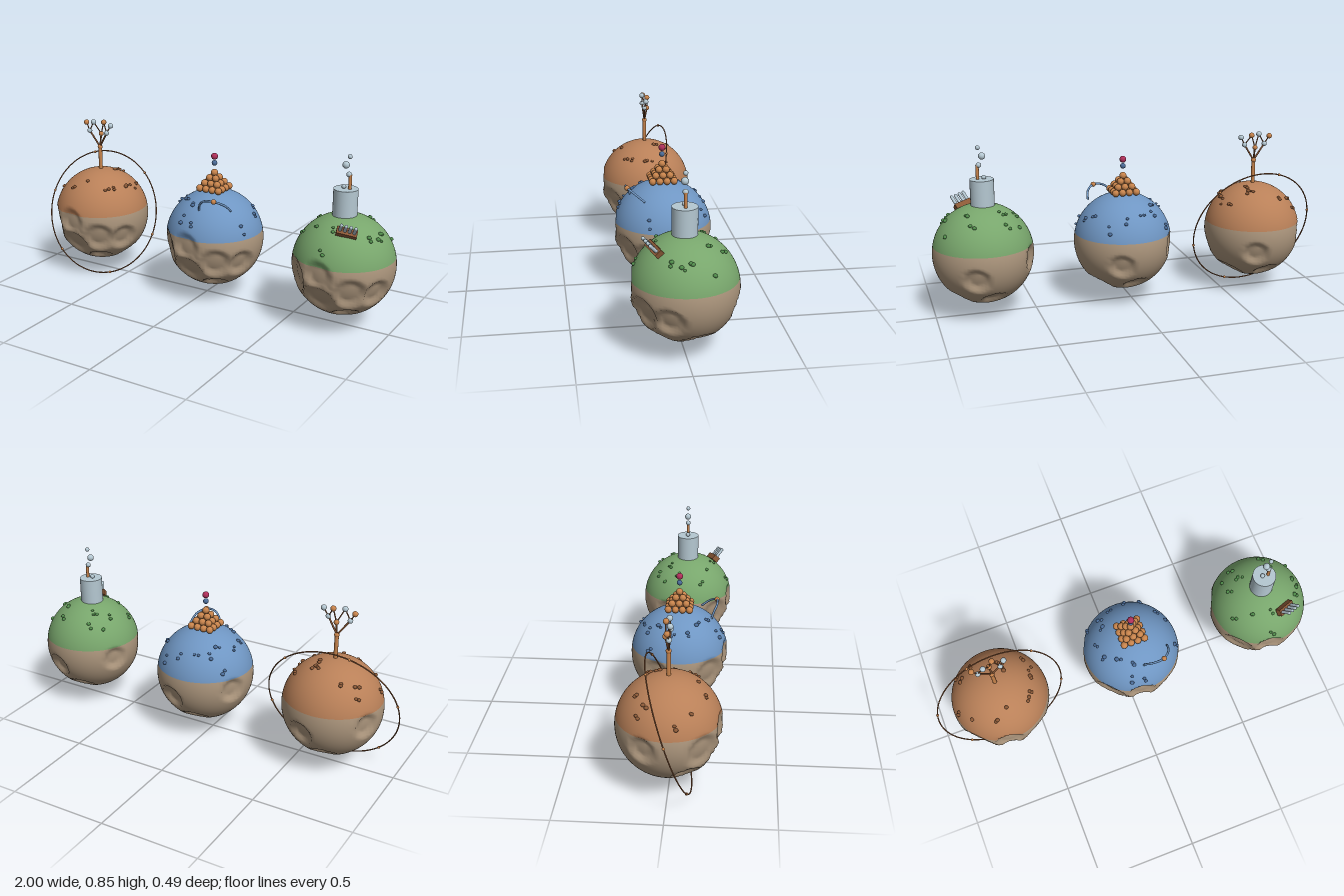
import * as THREE from 'three';
import { mergeVertices } from 'three/addons/utils/BufferGeometryUtils.js';

const V = (x, y, z) => new THREE.Vector3(x, y, z);
const mat = (name, color) => Object.assign(new THREE.MeshStandardMaterial({ color }), { name });

export function createModel() {
  const M = {
    rock: mat('rock', 0xab957c), clay: mat('clay', 0xb98058), blue: mat('blue', 0x6f96c3),
    green: mat('green', 0x78a66c), orange: mat('orange', 0xc8844c), steel: mat('steel', 0xb5c8d2),
    crimson: mat('crimson', 0xb0305a), leaf: mat('leaf', 0x4f8a4a), navy: mat('navy', 0x4b6c98),
    brown: mat('brown', 0x8a5836),
  };
  const R = 0.247, CY = 0.32;
  const root = new THREE.Group();
  root.name = 'planets';
  let seed = 7;
  const rnd = () => (seed = (seed * 16807) % 2147483647) / 2147483647;

  const add = (parent, name, geo, material, pos) => {
    const m = new THREE.Mesh(geo, material);
    m.name = name;
    if (pos) m.position.copy(pos);
    parent.add(m);
    return m;
  };
  const ball = (parent, name, r, material, pos) =>
    add(parent, name, new THREE.SphereGeometry(r, 16, 12), material, pos);
  // Cylinder between two points
  const rod = (parent, name, a, b, r, material) => {
    const d = b.clone().sub(a);
    const m = add(parent, name, new THREE.CylinderGeometry(r, r, d.length(), 12), material,
      a.clone().add(b).multiplyScalar(0.5));
    m.quaternion.setFromUnitVectors(V(0, 1, 0), d.normalize());
    return m;
  };

  // Cratered body: direction and angular radius of every crater
  const craters = [
    [-0.72, -0.15, 0.68, 0.36], [-0.12, -0.5, 0.86, 0.36], [0.5, -0.28, 0.82, 0.34],
    [-0.12, 0.03, 1, 0.3], [0.86, -0.32, 0.4, 0.3], [0.53, -0.83, -0.16, 0.3],
    [-0.1, -0.8, -0.58, 0.27], [0.27, -0.3, -0.91, 0.27], [-0.9, -0.06, -0.43, 0.27],
    [-0.6, -0.72, 0.35, 0.28], [0.3, -0.85, 0.5, 0.25],
  ].map(([x, y, z, r]) => ({ dir: V(x, y, z).normalize(), r }));
  const W = 80, H = 64, CAP = 28;
  const sphere = new THREE.SphereGeometry(R, W, H);
  const p = sphere.attributes.position, v = V(0, 0, 0);
  for (let i = 0; i < p.count; i++) {
    v.fromBufferAttribute(p, i).normalize();
    let dent = 0;
    for (const c of craters) {
      const t = v.angleTo(c.dir) / c.r;
      if (t < 1) dent = Math.max(dent, 0.024 * Math.min(1, 1.7 * (1 - t * t)));
    }
    v.multiplyScalar(R - dent);
    p.setXYZ(i, v.x, v.y, v.z);
  }
  sphere.deleteAttribute('normal');
  sphere.deleteAttribute('uv');
  const body = mergeVertices(sphere, 1e-5);
  body.computeVertexNormals();
  const capCount = 3 * (W + 2 * W * (CAP - 1));
  body.clearGroups();
  body.addGroup(0, capCount, 0);
  body.addGroup(capCount, body.index.count - capCount, 1);

  // Planet with pebble clusters, placed by x,z offsets on the cap
  const planet = (name, x, cap, pebble, spots) => {
    const g = new THREE.Group();
    g.name = name;
    g.position.set(x, CY, 0);
    root.add(g);
    add(g, 'planetBody', body, [cap, M.rock]);
    for (let i = 0; i < spots.length; i += 2)
      for (let k = 0; k < 2; k++) {
        const px = spots[i] + k * (rnd() - 0.5) * 0.04, pz = spots[i + 1] + k * (rnd() - 0.5) * 0.04;
        const d = V(px, Math.sqrt(Math.max(0.004, R * R - px * px - pz * pz)), pz).setLength(R + 0.002);
        const b = ball(g, 'pebble', 0.007 + rnd() * 0.004, pebble, d);
        b.scale.y = 0.8;
      }
    return g;
  };

  // Clay planet: tree of nodes and a beaded orbit ring
  const one = planet('clayPlanet', -0.665, M.clay, M.brown, [
    -0.165, -0.13, -0.09, -0.14, 0.04, -0.1, 0.06, -0.085, 0.055, -0.06, 0.165, -0.085, 0.17, 0.01,
    -0.165, 0.11, -0.215, 0.04, 0.15, 0.09, 0.13, 0.11, 0.01, 0.13, -0.05, 0.165, -0.16, -0.085, 0.19, -0.04]);
  const tree = new THREE.Group();
  tree.name = 'nodeTree';
  one.add(tree);
  const fork = V(0, 0.365, 0);
  rod(tree, 'trunk', V(0, 0.235, 0), fork, 0.01, M.orange);
  ball(tree, 'forkNode', 0.013, M.orange, fork);
  const limbs = [
    { at: V(-0.06, 0.447, 0.006), m: M.steel, tips: [[-0.084, 0.488, 0, M.orange], [-0.03, 0.498, 0.01, M.steel]] },
    { at: V(0, 0.434, -0.014), m: M.orange, tips: [[-0.03, 0.498, 0.01], [0.02, 0.498, -0.012]] },
    { at: V(0.05, 0.447, 0.006), m: M.steel, tips: [[0.02, 0.498, -0.012, M.orange], [0.073, 0.488, 0, M.steel]] },
  ];
  for (const l of limbs) {
    rod(tree, 'branch', fork, l.at, 0.0045, M.brown);
    ball(tree, 'branchNode', 0.013, l.m, l.at);
    for (const [x, y, z, m] of l.tips) {
      rod(tree, 'twig', l.at, V(x, y, z), 0.003, M.brown);
      if (m) ball(tree, 'tipNode', 0.014, m, V(x, y, z));
    }
  }
  const ring = new THREE.Group();
  ring.name = 'orbitRing';
  ring.quaternion.setFromUnitVectors(V(0, 0, 1), V(0.079, 0.347, 1.04).normalize());
  one.add(ring);
  const RR = 0.331;
  add(ring, 'ringBand', new THREE.TorusGeometry(RR, 0.0032, 8, 120), M.brown);
  for (let k = 0; k < 6; k++) {
    const a = (108 + 60 * k) * Math.PI / 180;
    ball(ring, 'ringBead', 0.007, M.orange, V(RR * Math.cos(a), RR * Math.sin(a), 0));
  }

  // Blue planet: ball pyramid and a small arch
  const two = planet('bluePlanet', 0.045, M.blue, M.navy, [
    -0.185, -0.13, -0.12, -0.15, -0.04, -0.175, 0.04, -0.2, 0.12, -0.175, -0.13, -0.085, 0.175, -0.08,
    0.2, -0.04, -0.18, -0.03, -0.11, 0.09, -0.04, 0.145, -0.01, 0.21, -0.065, 0.185, -0.16, 0.05, 0.2, 0.09]);
  const pyramid = new THREE.Group();
  pyramid.name = 'ballPyramid';
  two.add(pyramid);
  const br = 0.0178;
  for (let n = 4, y = 0.258; n > 0; n--, y += br * 1.414)
    for (let i = 0; i < n; i++)
      for (let j = 0; j < n; j++)
        ball(pyramid, 'pyramidBall', br, M.orange, V((i - (n - 1) / 2) * 2 * br - 0.003, y, (j - (n - 1) / 2) * 2 * br));
  ball(pyramid, 'neckBall', 0.014, M.navy, V(-0.003, 0.383, 0));
  ball(pyramid, 'topBall', 0.017, M.crimson, V(-0.003, 0.417, 0));
  const arch = new THREE.CatmullRomCurve3([
    V(0.005, 0.18, 0.16), V(0.015, 0.215, 0.172), V(0.05, 0.245, 0.188), V(0.1, 0.25, 0.186),
    V(0.14, 0.228, 0.15), V(0.152, 0.19, 0.105)]);
  add(two, 'arch', new THREE.TubeGeometry(arch, 40, 0.0055, 8), M.blue);
  ball(two, 'archBall', 0.013, M.orange, V(0.102, 0.25, 0.186));

  // Green planet: tank with chimney and smoke, plus a rack of tubes
  const three = planet('greenPlanet', 0.755, M.green, M.leaf, [
    -0.16, -0.12, -0.09, -0.15, -0.09, -0.095, 0.06, -0.165, 0.08, -0.095, -0.07, -0.085, -0.145, -0.04,
    0.175, -0.005, 0.19, 0.03, -0.17, 0.09, -0.1, 0.11, 0, 0.145, -0.03, 0.21, 0.15, 0.08, 0.19, -0.1]);
  add(three, 'tank', new THREE.CylinderGeometry(0.058, 0.058, 0.14, 40), M.steel, V(-0.007, 0.298, 0));
  rod(three, 'chimney', V(0.012, 0.36, 0), V(0.012, 0.437, 0), 0.008, M.orange);
  for (const [x, y, r] of [[-0.018, 0.376, 0.011], [0.005, 0.437, 0.013], [-0.012, 0.48, 0.017], [0.006, 0.522, 0.011]])
    ball(three, 'smokePuff', r, M.steel, V(x, y, 0));
  const rack = new THREE.Group();
  rack.name = 'tubeRack';
  const along = V(0.09, -0.02, -0.036).normalize();
  const up = V(0.25, 0.7, 0.62);
  up.addScaledVector(along, -up.dot(along)).normalize();
  rack.quaternion.setFromRotationMatrix(new THREE.Matrix4().makeBasis(along, up, along.clone().cross(up)));
  rack.position.set(0.066, 0.208, 0.142);
  three.add(rack);
  add(rack, 'rackBox', new THREE.BoxGeometry(0.095, 0.03, 0.036), M.brown);
  for (let k = 0; k < 4; k++) {
    const x = (k - 1.5) * 0.022;
    rod(rack, 'tube', V(x, 0, 0), V(x, 0.062, 0), 0.008, M.steel);
    ball(rack, 'tubeTip', 0.008, M.steel, V(x, 0.062, 0));
  }
  return root;
}
